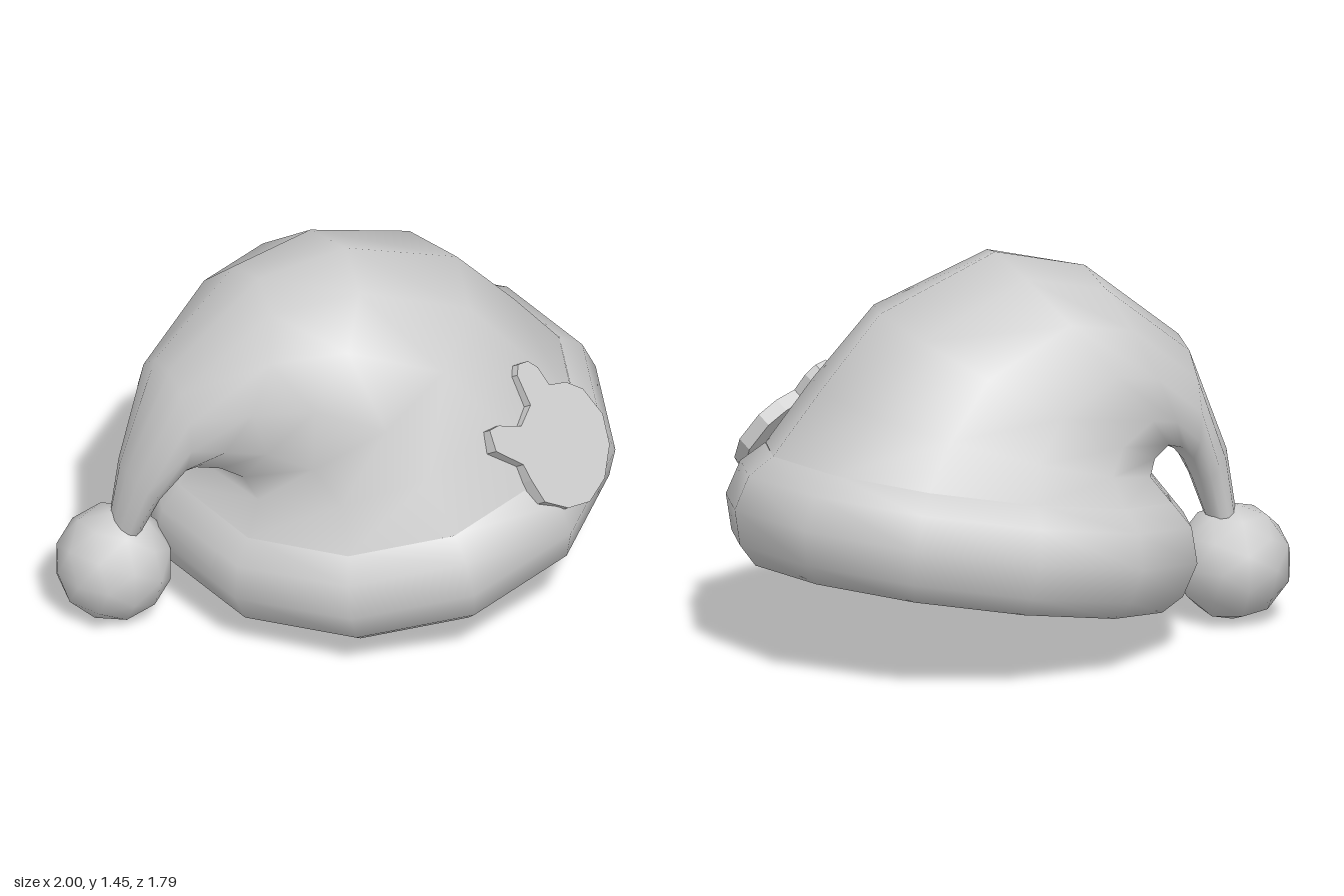
import * as THREE from 'three';
import { mergeVertices } from 'three/addons/utils/BufferGeometryUtils.js';

const SIDES = 12;

// Skin over elliptical rings: each has an outer point, an inner point and a half width
function loft(rings, across) {
  const pos = [], index = [];
  rings.forEach(([outer, inner, width, tilt]) => {
    const o = new THREE.Vector3(...outer), i = new THREE.Vector3(...inner);
    const centre = o.clone().add(i).multiplyScalar(0.5);
    const a = o.sub(i).multiplyScalar(0.5);
    const b = across.clone().setY(tilt || 0).multiplyScalar(width);
    for (let k = 0; k < SIDES; k++) {
      const t = (k / SIDES) * Math.PI * 2;
      const p = centre.clone().addScaledVector(a, Math.cos(t)).addScaledVector(b, Math.sin(t));
      pos.push(p.x, p.y, p.z);
    }
  });
  for (let r = 0; r < rings.length - 1; r++) {
    for (let k = 0; k < SIDES; k++) {
      const a = r * SIDES + k, b = r * SIDES + (k + 1) % SIDES;
      index.push(a, a + SIDES, b, b, a + SIDES, b + SIDES);
    }
  }
  const geo = new THREE.BufferGeometry();
  geo.setAttribute('position', new THREE.Float32BufferAttribute(pos, 3));
  geo.setIndex(index);
  geo.computeVertexNormals();
  return geo;
}

export function createModel() {
  const group = new THREE.Group();
  const cloth = new THREE.MeshStandardMaterial({ color: 0xcccccc });
  cloth.name = 'pale grey';

  const add = (name, geo) => {
    const mesh = new THREE.Mesh(geo, cloth);
    mesh.name = name;
    group.add(mesh);
    return mesh;
  };

  // Tilted rolled brim with a closed underside
  const profile = [[0, -0.205], [0.785, -0.2], [0.855, -0.13],
    [0.893, 0], [0.855, 0.13], [0.77, 0.21]];
  const brim = add('brim', new THREE.LatheGeometry(
    profile.map(([r, h]) => new THREE.Vector2(r, h)), SIDES));
  brim.position.set(0.12, 0.43, 0);
  brim.rotation.z = 0.19;

  // Full crown that folds over into a drooping tail
  add('crown', loft([
    [[0.735, 0.762, 0.385], [-0.575, 0.51, -0.385], 0.77, -0.095],
    [[0.57, 0.99, 0.3], [-0.52, 0.61, -0.33], 0.66, -0.04],
    [[0.35, 1.26, 0.2], [-0.54, 0.66, -0.34], 0.55],
    [[-0.07, 1.45, 0], [-0.58, 0.68, -0.36], 0.45],
    [[-0.34, 1.38, -0.2], [-0.61, 0.66, -0.4], 0.345],
    [[-0.67, 1.08, -0.37], [-0.63, 0.62, -0.43], 0.245],
    [[-0.81, 0.66, -0.46], [-0.66, 0.54, -0.45], 0.15],
    [[-0.81, 0.36, -0.53], [-0.7, 0.36, -0.5], 0.09],
  ], new THREE.Vector3(-0.5, 0, 0.87)));

  // Pompom at the end of the tail
  const ball = new THREE.IcosahedronGeometry(0.222, 1);
  ball.deleteAttribute('normal');
  ball.deleteAttribute('uv');
  const round = mergeVertices(ball);
  round.computeVertexNormals();
  add('pompom', round).position.set(-0.78, 0.22, -0.54);

  // Leaning flat badge: a round head with two ears
  const lean = 0.6;
  const outline = [[0.02, 0.68], [0.03, 0.6], [0.12, 0.54], [0.23, 0.515], [0.35, 0.545],
    [0.45, 0.62], [0.49, 0.71], [0.46, 0.81], [0.4, 0.86], [0.32, 0.885], [0.31, 0.95],
    [0.28, 0.985], [0.23, 0.995], [0.2, 0.97], [0.19, 0.87], [0.1, 0.835], [0, 0.88],
    [-0.05, 0.885], [-0.07, 0.82], [0.02, 0.735]];
  const shape = new THREE.Shape(outline.map(([x, y]) =>
    new THREE.Vector2(x - 0.24, (y - 0.74) / Math.cos(lean))));
  const plate = new THREE.ExtrudeGeometry(shape, { depth: 0.058, bevelEnabled: false });
  plate.translate(0, 0, -0.058);
  const badge = add('badge', plate);
  badge.rotation.x = -lean;
  badge.position.set(0.24, 0.74, 0.745);

  return group;
}
